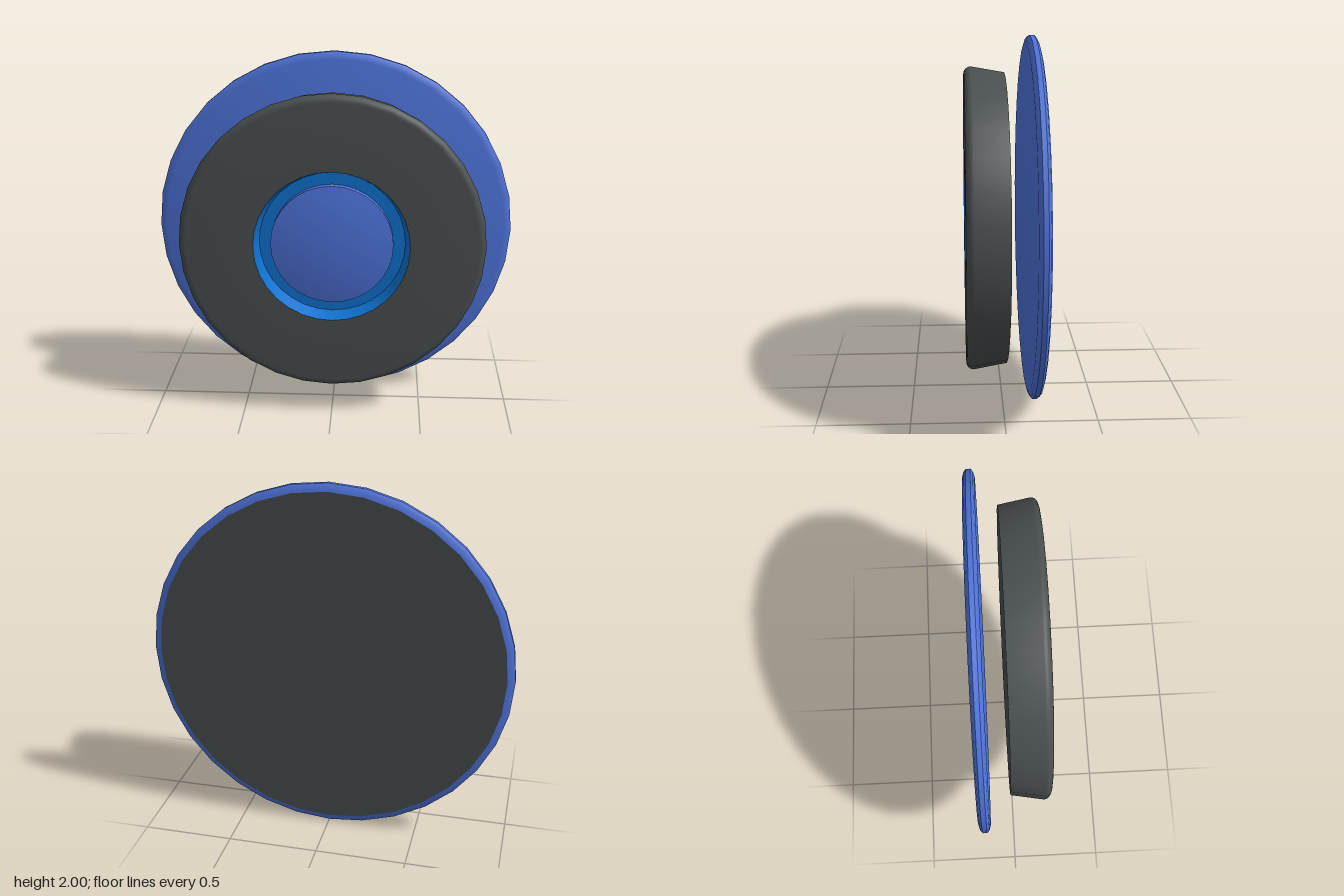
import * as THREE from 'three';
import { toCreasedNormals } from 'three/addons/utils/BufferGeometryUtils.js';

const SEGMENTS = 32;

function material(name, color) {
  const m = new THREE.MeshStandardMaterial({ color });
  m.name = name;
  return m;
}

// Turns a [radius, z] profile around the z axis; profiles run from back to front.
function turned(name, profile, mat) {
  const points = profile.map(([r, z]) => new THREE.Vector2(r, z));
  const geometry = new THREE.LatheGeometry(points, SEGMENTS).rotateX(Math.PI / 2);
  const mesh = new THREE.Mesh(toCreasedNormals(geometry, 0.5), mat);
  mesh.name = name;
  mesh.position.y = 1;
  return mesh;
}

export function createModel() {
  const blue = material('softBlue', 0x4e73da);
  const bright = material('brightBlue', 0x0e72d0);
  const dark = material('charcoal', 0x4a4f4f);
  const group = new THREE.Group();
  group.name = 'roundButton';

  // Thin backing disc with chamfered rim and a dark rear face
  group.add(turned('backingDisc', [
    [0.96, -0.2], [0.985, -0.193], [1, -0.18], [1, -0.155],
    [0.985, -0.142], [0.96, -0.135], [0, -0.135],
  ], blue));
  group.add(turned('backFace', [[0, -0.2], [0.96, -0.2]], dark));

  // Flared body with a rounded front edge
  const rounded = [];
  for (let i = 0; i <= 6; i++) {
    const a = (i / 6) * Math.PI / 2;
    rounded.push([0.795 + 0.04 * Math.cos(a), 0.16 + 0.04 * Math.sin(a)]);
  }
  group.add(turned('body', [[0, -0.02], [0.803, -0.02], ...rounded, [0.425, 0.2]], dark));

  // Recess sunk into the front
  group.add(turned('recess', [[0.425, 0.2], [0.4, 0.115], [0, 0.115]], bright));

  // Slightly domed centre cap
  const dome = [];
  for (let i = 0; i <= 6; i++) {
    const r = 0.335 * (1 - i / 6);
    dome.push([r, 0.155 + 0.03 * (1 - (r / 0.335) ** 2)]);
  }
  group.add(turned('centreCap', [[0.335, 0.115], ...dome], blue));

  return group;
}
